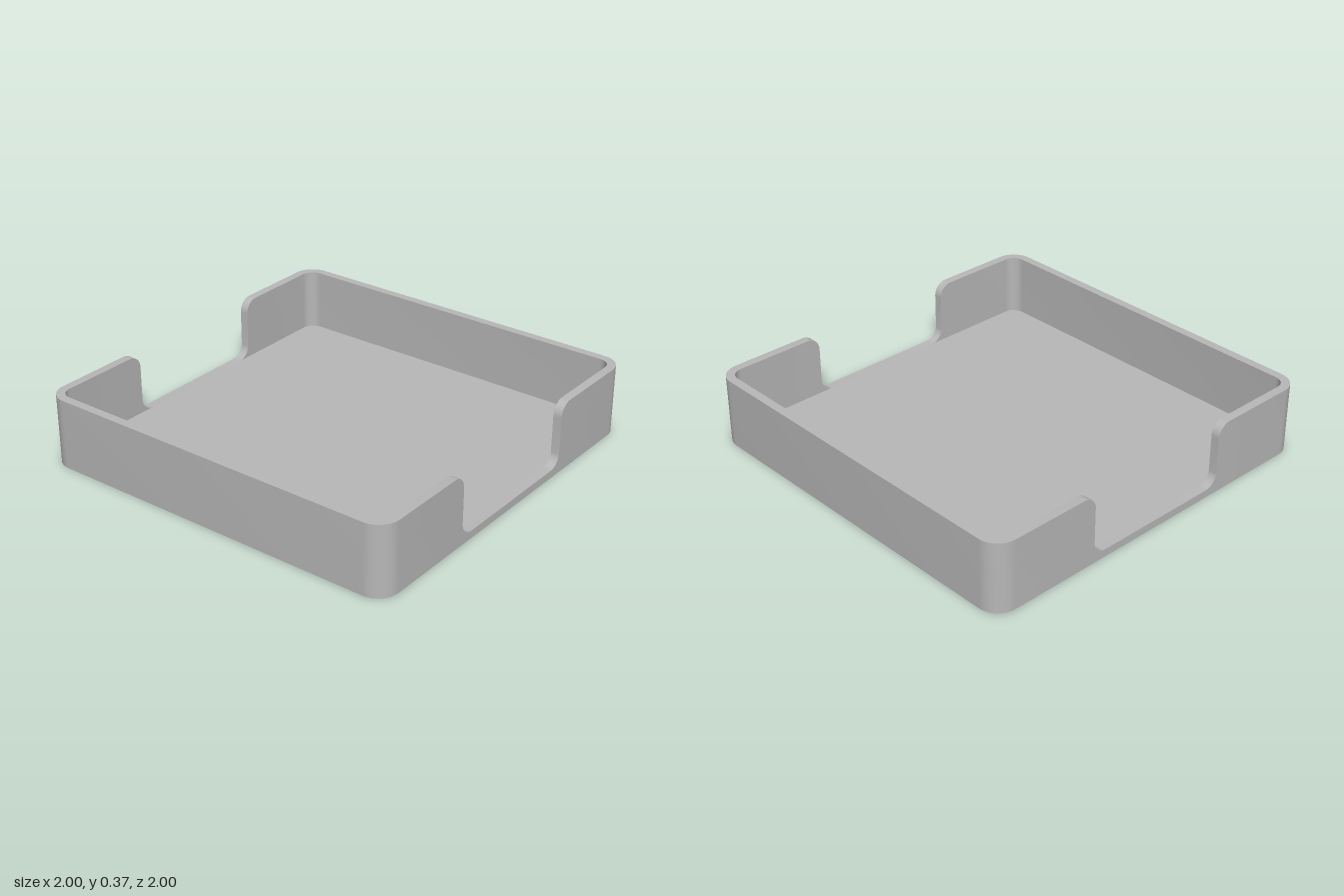
import * as THREE from 'three';
import { toCreasedNormals } from 'three/addons/utils/BufferGeometryUtils.js';

const HEIGHT = 0.365, FLOOR = 0.04, WALL = 0.045;
const CORNER = 0.11;               // outer corner radius
const NOTCH = 0.41, FILLET = 0.07; // half width of the side openings, and their rounding
const STEPS = 12;

// Rising edge of an opening as [z, top height], from its floor to the rim
function notchProfile() {
  const points = [];
  for (let i = 0; i <= STEPS; i++) {
    const a = (i / STEPS) * Math.PI / 2;
    points.push([NOTCH - FILLET + FILLET * Math.sin(a), FLOOR + FILLET * (1 - Math.cos(a))]);
  }
  for (let i = 0; i <= STEPS; i++) {
    const a = (i / STEPS) * Math.PI / 2;
    points.push([NOTCH + FILLET * (1 - Math.cos(a)), HEIGHT - FILLET * (1 - Math.sin(a))]);
  }
  return points;
}

// Stations around the tray: outer and inner plan points with the wall height there
function wallStations() {
  const stations = [];
  const side = (sx, sz, profile) => {
    for (const [z, h] of profile) {
      stations.push({ outer: [sx, sz * z], inner: [sx * (1 - WALL), sz * z], h });
    }
  };
  const corner = (sx, sz, start) => {
    const c = 1 - CORNER, r = CORNER - WALL;
    for (let i = 0; i <= STEPS; i++) {
      const a = start + (i / STEPS) * Math.PI / 2;
      const x = Math.cos(a), z = Math.sin(a);
      stations.push({
        outer: [sx * c + CORNER * x, sz * c + CORNER * z],
        inner: [sx * c + r * x, sz * c + r * z],
        h: HEIGHT,
      });
    }
  };
  const up = notchProfile(), down = notchProfile().reverse();
  side(1, 1, up);
  corner(1, 1, 0);
  corner(-1, 1, Math.PI / 2);
  side(-1, 1, down);
  side(-1, -1, up);
  corner(-1, -1, Math.PI);
  corner(1, -1, Math.PI * 1.5);
  side(1, -1, down);
  return stations;
}

// Triangle collector that leaves out collapsed triangles
function surface() {
  const positions = [];
  const tri = (a, b, c) => {
    const t = new THREE.Triangle(a, b, c);
    if (t.getArea() > 1e-8) for (const p of [a, b, c]) positions.push(p.x, p.y, p.z);
  };
  const quad = (a, b, c, d) => { tri(a, b, c); tri(a, c, d); };
  const build = () => {
    const geometry = new THREE.BufferGeometry();
    geometry.setAttribute('position', new THREE.Float32BufferAttribute(positions, 3));
    return toCreasedNormals(geometry, Math.PI / 6);
  };
  return { tri, quad, build };
}

export function createModel() {
  const group = new THREE.Group();
  group.name = 'tray';
  const grey = new THREE.MeshStandardMaterial({ color: 0xb8b8b8 });
  grey.name = 'light grey';

  const walls = surface(), base = surface();
  const stations = wallStations();
  const at = ([x, z], y) => new THREE.Vector3(x, y, z);
  const floorCentre = new THREE.Vector3(0, FLOOR, 0);
  const bottomCentre = new THREE.Vector3(0, 0, 0);

  stations.forEach((s, i) => {
    const n = stations[(i + 1) % stations.length];
    // Outer face, inner face and rim
    walls.quad(at(s.outer, 0), at(s.outer, s.h), at(n.outer, n.h), at(n.outer, 0));
    walls.quad(at(n.inner, FLOOR), at(n.inner, n.h), at(s.inner, s.h), at(s.inner, FLOOR));
    walls.quad(at(s.outer, s.h), at(s.inner, s.h), at(n.inner, n.h), at(n.outer, n.h));
    // Floor and underside
    base.tri(floorCentre, at(n.inner, FLOOR), at(s.inner, FLOOR));
    base.tri(bottomCentre, at(s.outer, 0), at(n.outer, 0));
  });

  for (const [name, part] of [['walls', walls], ['base', base]]) {
    const mesh = new THREE.Mesh(part.build(), grey);
    mesh.name = name;
    group.add(mesh);
  }
  return group;
}
